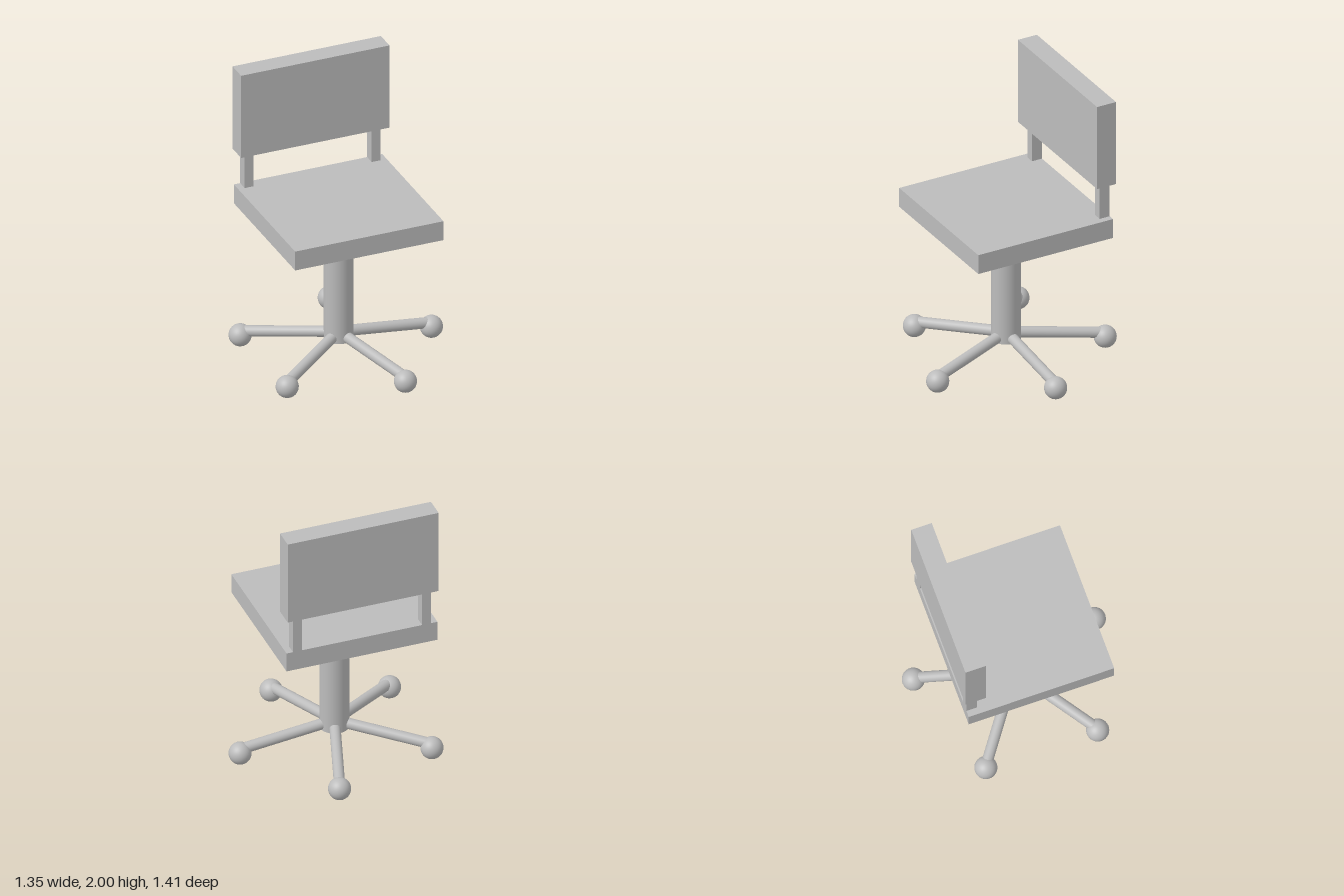
import * as THREE from 'three';

export function createModel() {
  const chair = new THREE.Group();
  chair.name = 'swivelChair';
  const grey = new THREE.MeshStandardMaterial({ color: 0xbcbcbc });
  grey.name = 'grey';

  const CX = -0.067; // axis of the column

  const add = (name, geometry, x, y, z, parent = chair) => {
    const mesh = new THREE.Mesh(geometry, grey);
    mesh.name = name;
    mesh.position.set(x, y, z);
    parent.add(mesh);
    return mesh;
  };

  // Box given by its width and its y and z ranges
  const slab = (name, x, width, y0, y1, z0, z1) =>
    add(name, new THREE.BoxGeometry(width, y1 - y0, z1 - z0), x, (y0 + y1) / 2, (z0 + z1) / 2);

  // Seat and back
  slab('seat', CX, 1.056, 0.995, 1.135, -0.505, 0.505);
  slab('backrest', CX, 1.056, 1.39, 2.0, -0.527, -0.385);
  for (const side of [-1, 1]) {
    slab(side < 0 ? 'rightBackPost' : 'leftBackPost', CX + side * 0.452, 0.062, 1.135, 1.39, -0.505, -0.43);
  }

  // Central column
  add('column', new THREE.CylinderGeometry(0.098, 0.098, 0.86, 48), CX, 0.568, 0);

  // Five sloping legs, each ending in a ball foot
  const start = new THREE.Vector3(0, 0.182, 0);
  const end = new THREE.Vector3(0.655, 0.108, 0);
  const span = end.clone().sub(start);
  const legGeometry = new THREE.CylinderGeometry(0.037, 0.037, span.length(), 24);
  const footGeometry = new THREE.SphereGeometry(0.076, 32, 20);
  for (let i = 0; i < 5; i++) {
    const arm = new THREE.Group();
    arm.name = 'baseArm' + (i + 1);
    arm.position.x = CX;
    arm.rotation.y = (i * Math.PI * 2) / 5;
    const mid = start.clone().add(end).multiplyScalar(0.5);
    const leg = add('leg', legGeometry, mid.x, mid.y, mid.z, arm);
    leg.quaternion.setFromUnitVectors(new THREE.Vector3(0, 1, 0), span.clone().normalize());
    add('foot', footGeometry, 0.66, 0.078, 0, arm);
    chair.add(arm);
  }
  return chair;
}
